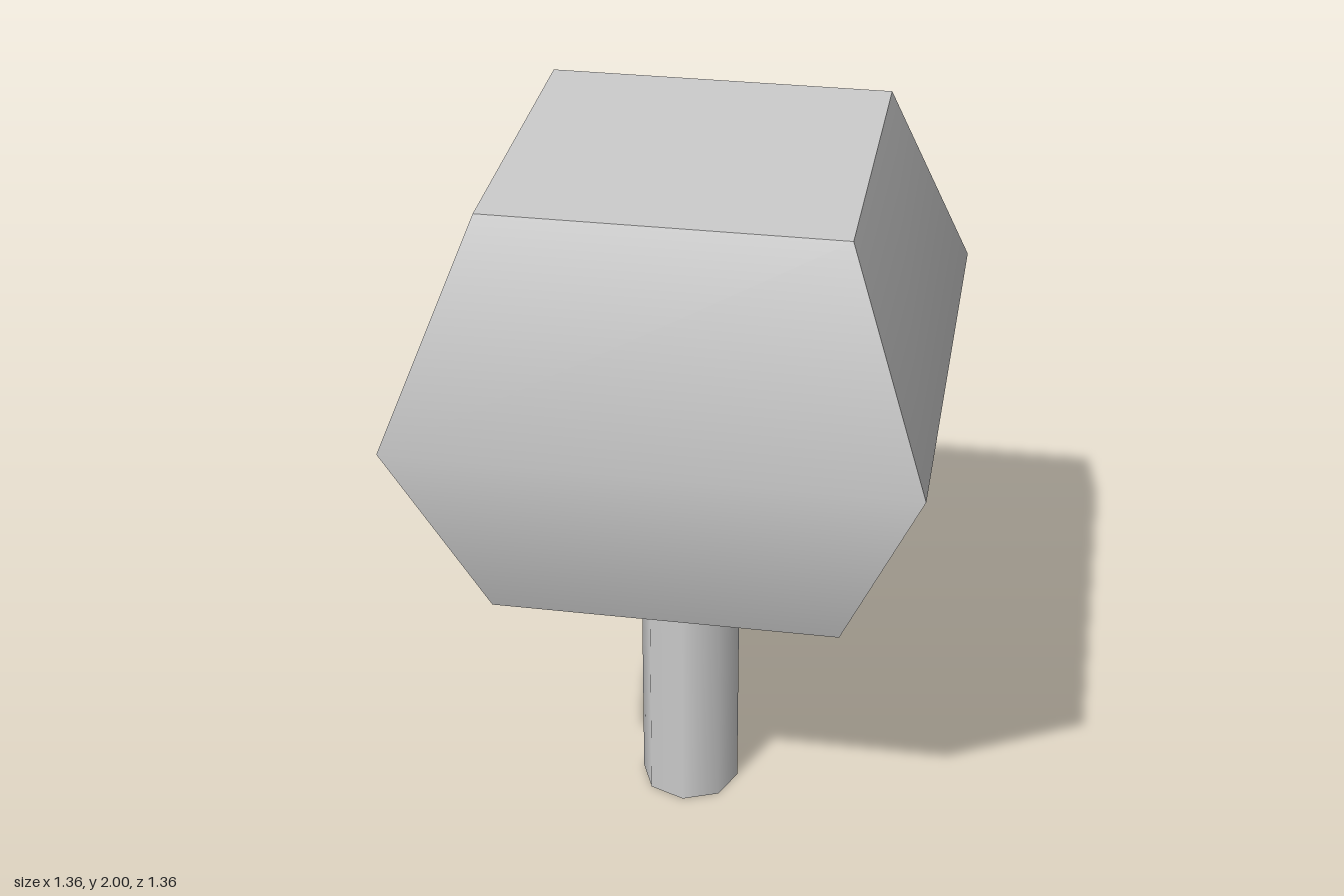
import * as THREE from 'three';

const material = new THREE.MeshStandardMaterial({ color: 0xcccccc });

// Square crown: a box whose middle ring bulges outward, shaded smoothly across the belt
function crownGeometry(half, beltHalf, height) {
  const geo = new THREE.BoxGeometry(half * 2, height, half * 2, 1, 2, 1);
  const pos = geo.attributes.position;
  const nor = geo.attributes.normal;
  const n = new THREE.Vector3();
  const slope = (beltHalf - half) / (height / 2);
  for (let i = 0; i < pos.count; i++) {
    n.fromBufferAttribute(nor, i);
    const y = pos.getY(i);
    if (Math.abs(y) < 1e-6) {
      // belt: widen, keep the level normal
      const k = beltHalf / half;
      pos.setX(i, pos.getX(i) * k);
      pos.setZ(i, pos.getZ(i) * k);
    } else if (Math.abs(n.y) < 0.5) {
      // upper and lower rims of the sides: tilt the normal with the slope
      n.y = Math.sign(y) * slope;
      n.normalize();
      nor.setXYZ(i, n.x, n.y, n.z);
    }
  }
  return geo;
}

export function createModel() {
  const model = new THREE.Group();
  model.name = 'tree';

  // Eight-sided trunk, slightly off centre and just short of the crown
  const trunkHeight = 0.845;
  const trunk = new THREE.Mesh(new THREE.CylinderGeometry(0.14, 0.14, trunkHeight, 8), material);
  trunk.name = 'trunk';
  trunk.position.set(-0.01, trunkHeight / 2, -0.015);
  model.add(trunk);

  // Crown from y = 0.86 to y = 2
  const crown = new THREE.Mesh(crownGeometry(0.462, 0.68, 1.14), material);
  crown.name = 'crown';
  crown.position.y = 1.43;
  model.add(crown);

  return model;
}
